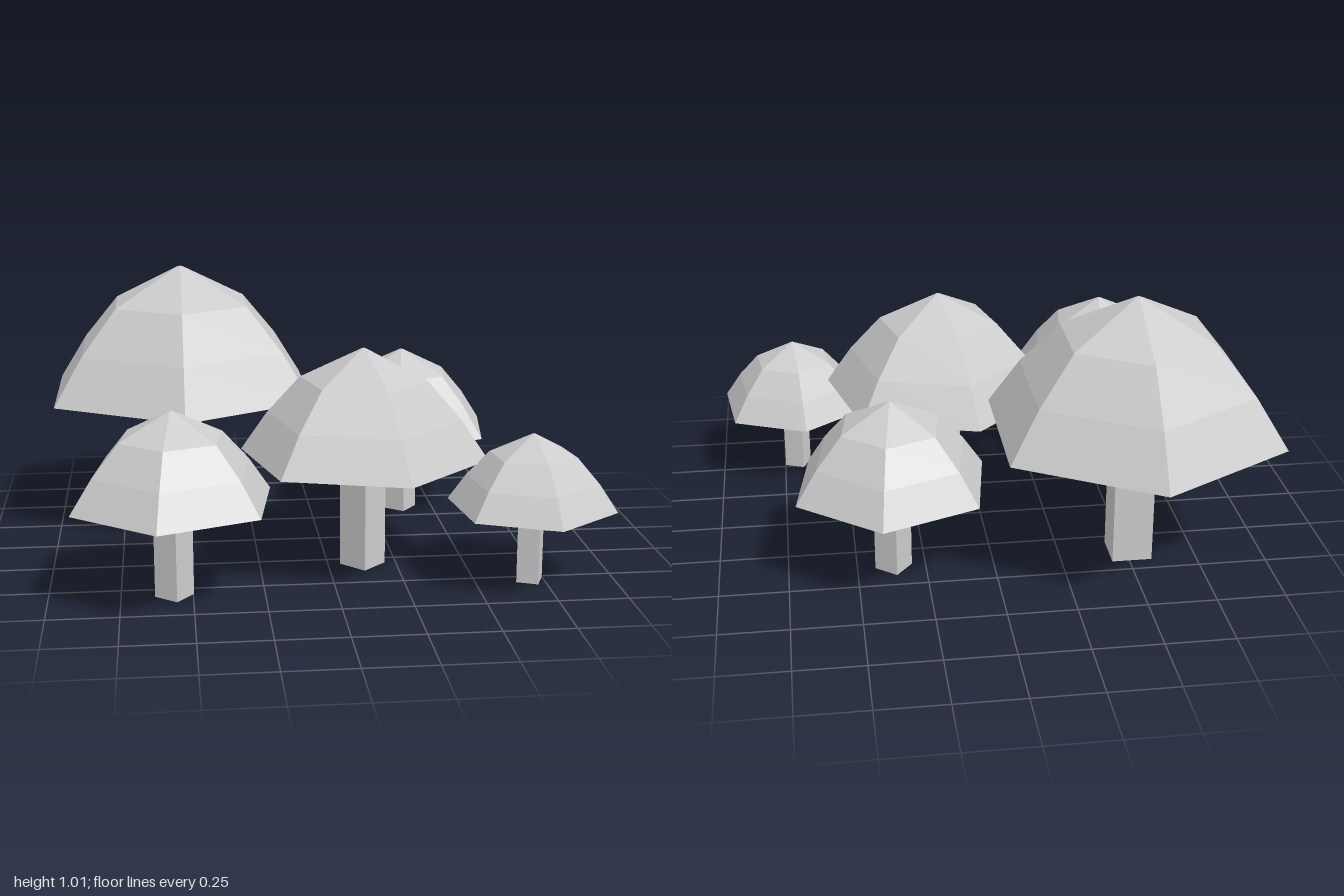
import * as THREE from 'three';

const material = new THREE.MeshStandardMaterial({ color: 0xcccccc, flatShading: true, side: THREE.DoubleSide });

// Cap profile (radius, height): hollow, open at the rim, tiny flat tip
const capProfile = [[0.565, 0.52], [0.442, 0.70], [0.29, 0.87], [0.01, 1.01], [0, 1.01]]
  .map(([r, y]) => new THREE.Vector2(r, y));

const STEM_WIDTH = 0.147;
const STEM_HEIGHT = 0.635; // the stem ends inside the hollow cap

function createMushroom(name, x, z, scale, degrees) {
  const mushroom = new THREE.Group();
  mushroom.name = name;

  // Six-sided faceted cap
  const cap = new THREE.Mesh(new THREE.LatheGeometry(capProfile, 6).toNonIndexed(), material);
  cap.geometry.computeVertexNormals();
  cap.name = 'cap';

  // Square stem
  const stem = new THREE.Mesh(new THREE.BoxGeometry(STEM_WIDTH, STEM_HEIGHT, STEM_WIDTH), material);
  stem.position.y = STEM_HEIGHT / 2;
  stem.name = 'stem';

  mushroom.add(cap, stem);
  mushroom.position.set(x, 0, z);
  mushroom.rotation.y = THREE.MathUtils.degToRad(degrees);
  mushroom.scale.setScalar(scale);
  return mushroom;
}

export function createModel() {
  const group = new THREE.Group();
  group.name = 'mushroomCluster';
  // name, x, z, scale, turn
  const mushrooms = [
    ['largeMushroom', -0.51, -0.366, 1, 0],
    ['middleMushroom', 0.127, 0.3, 0.8, 134.2],
    ['frontRightMushroom', -0.565, 0.563, 0.655, 51.4],
    ['backLeftMushroom', 0.367, -0.367, 0.655, 51.4],
    ['smallMushroom', 0.697, 0.535, 0.535, 67.3],
  ];
  for (const m of mushrooms) group.add(createMushroom(...m));
  return group;
}
